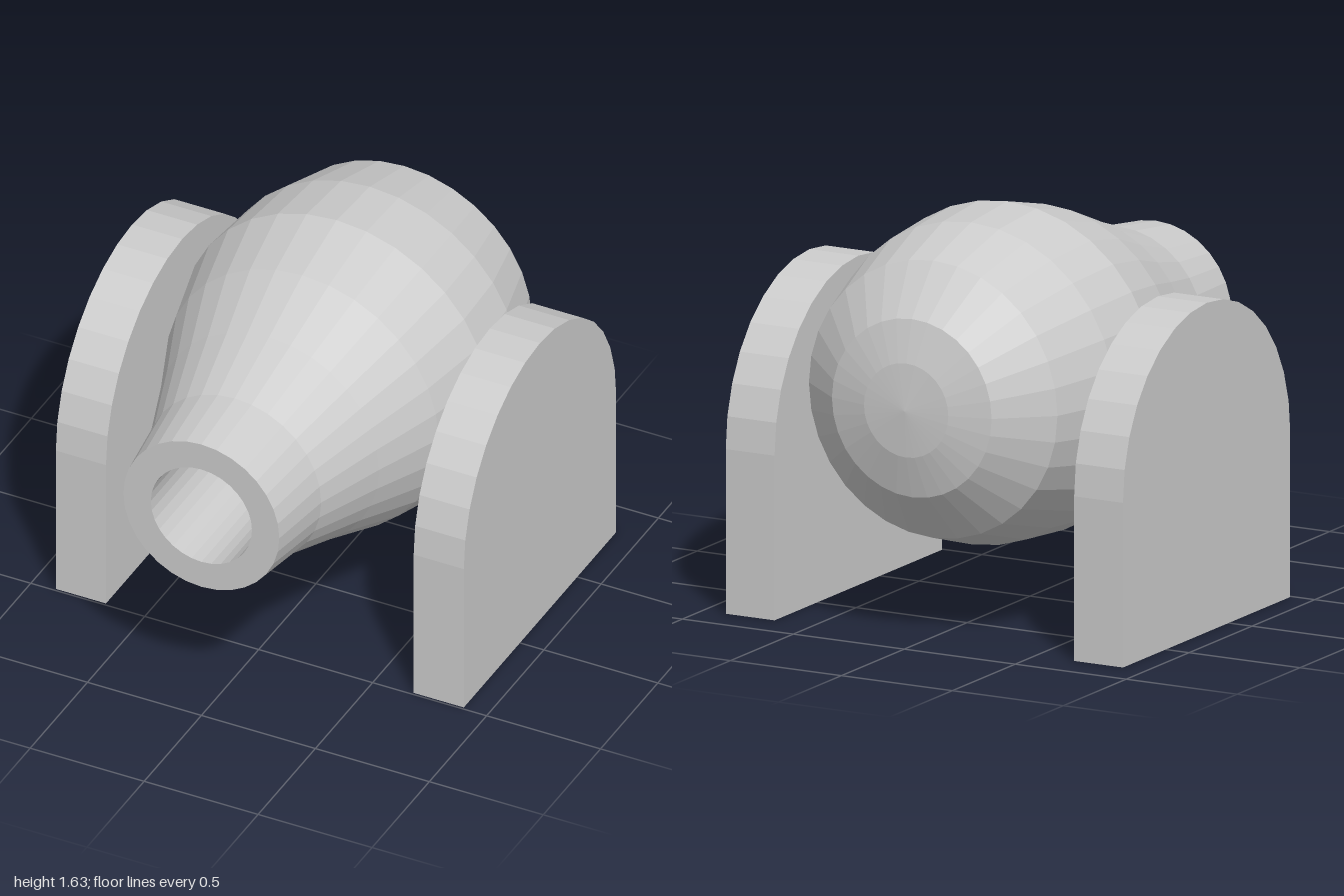
import * as THREE from 'three';

const AXIS_Y = 0.96;
const BORE_RADIUS = 0.222;

const material = () => new THREE.MeshStandardMaterial({
  color: 0xcccccc, flatShading: true, side: THREE.DoubleSide,
});

// Turned part lying along z, from [radius, z] pairs
function turned(name, profile) {
  const points = profile.map(([r, z]) => new THREE.Vector2(r, z));
  const geometry = new THREE.LatheGeometry(points, 32).rotateX(Math.PI / 2);
  const mesh = new THREE.Mesh(geometry, material());
  mesh.name = name;
  mesh.position.y = AXIS_Y;
  return mesh;
}

// Round-topped cheek, hollow and open underneath
function cheekGeometry() {
  const radius = 0.665, centreZ = -0.175, thickness = 0.22;
  const shape = new THREE.Shape();
  shape.moveTo(centreZ - radius, 0);
  shape.lineTo(centreZ + radius, 0);
  shape.lineTo(centreZ + radius, radius);
  shape.absarc(centreZ, radius, radius, 0, Math.PI, false);
  const solid = new THREE.ExtrudeGeometry(shape, {
    depth: thickness, bevelEnabled: false, curveSegments: 8,
  });
  solid.translate(0, 0, -thickness / 2).rotateY(-Math.PI / 2);

  // Drop the bottom face
  const p = solid.attributes.position;
  const kept = [];
  for (let i = 0; i < p.count; i += 3) {
    if (Math.max(p.getY(i), p.getY(i + 1), p.getY(i + 2)) < 1e-4) continue;
    for (let k = i; k < i + 3; k++) kept.push(p.getX(k), p.getY(k), p.getZ(k));
  }
  const geometry = new THREE.BufferGeometry();
  geometry.setAttribute('position', new THREE.Float32BufferAttribute(kept, 3));
  geometry.computeVertexNormals();
  return geometry;
}

export function createModel() {
  const model = new THREE.Group();
  model.name = 'mortar';

  // Barrel from the domed breech to the muzzle ring
  model.add(turned('barrel', [
    [0, -1], [0.19, -0.985], [0.36, -0.94], [0.56, -0.77], [0.65, -0.47],
    [0.673, -0.18], [0.598, 0.12], [0.483, 0.41], [0.38, 0.71],
    [0.342, 1], [BORE_RADIUS, 1],
  ]));

  // Blind bore
  model.add(turned('bore', [[BORE_RADIUS, 1], [BORE_RADIUS, -0.3], [0, -0.3]]));

  // A cheek on each side
  const cheek = cheekGeometry();
  for (const side of [1, -1]) {
    const mesh = new THREE.Mesh(cheek, material());
    mesh.name = side > 0 ? 'leftCheek' : 'rightCheek';
    mesh.position.x = side * 0.785;
    model.add(mesh);
  }
  return model;
}
